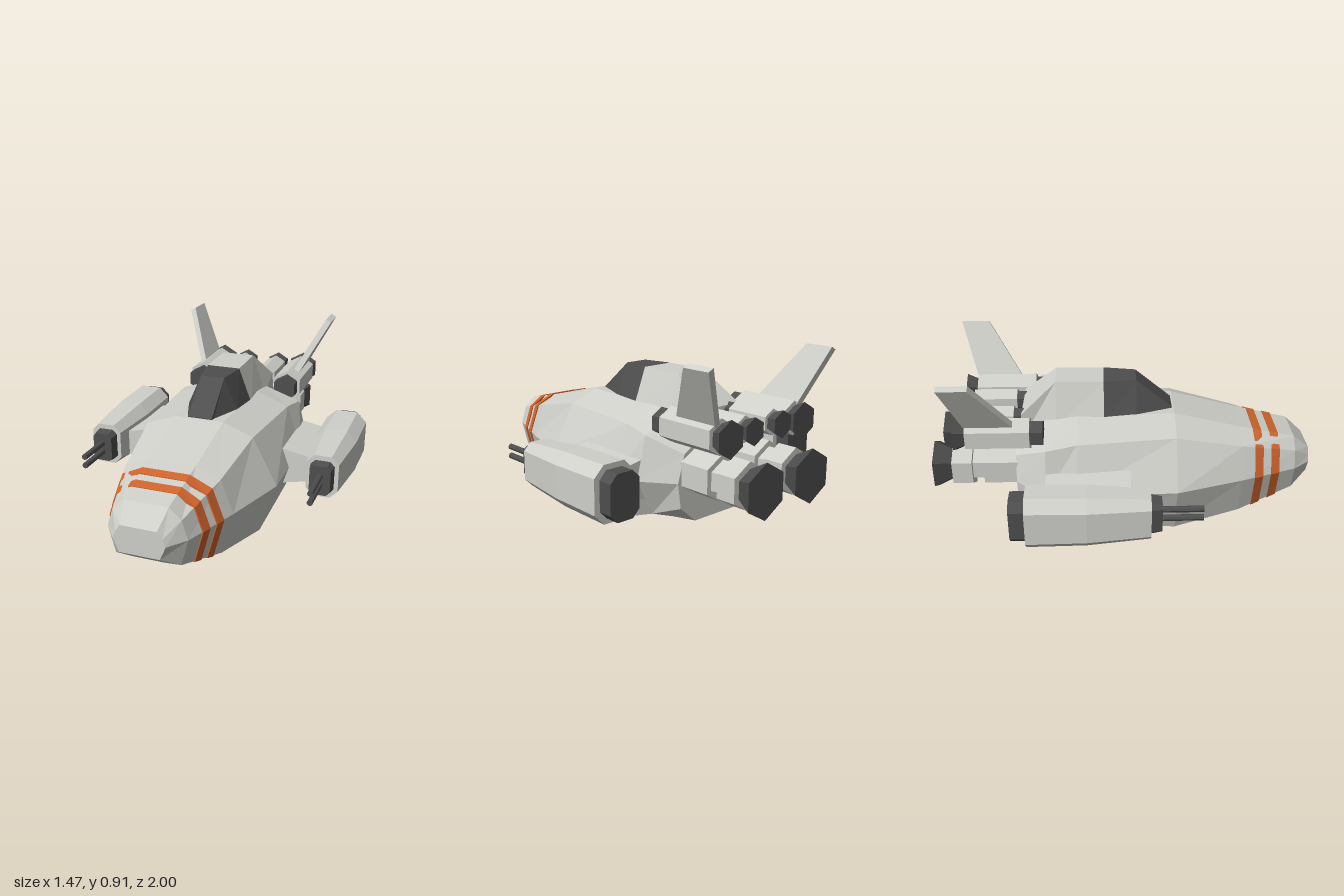
import * as THREE from 'three';

const make = (name, color) => {
  const m = new THREE.MeshStandardMaterial({ color, flatShading: true });
  m.name = name;
  return m;
};

// Skin a list of rings of [x, y, z] points and cap both ends
function loft(rings) {
  const pos = [];
  const tri = (a, b, c) => pos.push(...a, ...b, ...c);
  const n = rings[0].length;
  for (let i = 0; i < rings.length - 1; i++) {
    for (let j = 0; j < n; j++) {
      const k = (j + 1) % n;
      const [p, q] = [rings[i], rings[i + 1]];
      tri(p[j], q[j], q[k]);
      tri(p[j], q[k], p[k]);
    }
  }
  const last = rings[rings.length - 1];
  for (let j = 1; j < n - 1; j++) {
    tri(rings[0][0], rings[0][j], rings[0][j + 1]);
    tri(last[0], last[j + 1], last[j]);
  }
  const g = new THREE.BufferGeometry();
  g.setAttribute('position', new THREE.Float32BufferAttribute(pos, 3));
  g.computeVertexNormals();
  return g;
}

// Mirror a right-hand outline (bottom to top) into a closed ring at depth z
const closed = (half, z) => [
  ...half.map(([x, y]) => [x, y, z]),
  ...half.slice().reverse().map(([x, y]) => [-x, y, z]),
];

// Hull outlines: z, then keel, lower, widest, shoulder and top points
const hullRings = [
  [1.0, [[0.05, 0.22], [0.1, 0.22], [0.13, 0.29], [0.115, 0.325], [0.09, 0.36]]],
  [0.91, [[0.08, 0.15], [0.165, 0.155], [0.2, 0.29], [0.17, 0.385], [0.11, 0.44]]],
  [0.61, [[0.12, 0.055], [0.25, 0.065], [0.31, 0.29], [0.245, 0.46], [0.12, 0.51]]],
  [0.26, [[0.17, 0.005], [0.335, 0.02], [0.42, 0.29], [0.29, 0.54], [0.13, 0.6]]],
  [-0.25, [[0.17, 0.03], [0.335, 0.045], [0.42, 0.29], [0.33, 0.53], [0.15, 0.6]]],
  [-0.41, [[0.17, 0.05], [0.31, 0.1], [0.41, 0.29], [0.355, 0.51], [0.15, 0.58]]],
  [-0.57, [[0.17, 0.075], [0.27, 0.16], [0.29, 0.29], [0.25, 0.43], [0.13, 0.5]]],
];

// Hull outline at any depth, pushed out a little
function hullAt(z, out) {
  const i = hullRings.findIndex((r) => r[0] <= z);
  const [z0, a] = hullRings[i - 1];
  const [z1, b] = hullRings[i];
  const t = (z - z0) / (z1 - z0);
  return closed(a.map(([x, y], j) => {
    const px = x + (b[j][0] - x) * t, py = y + (b[j][1] - y) * t;
    const k = 1 + out / 0.2;
    return [px * k, 0.29 + (py - 0.29) * k];
  }), z);
}

// Chamfered rectangular ring
const octagon = (cx, cy, w, h, c, z) => [
  [w - c, -h], [w, c - h], [w, h - c], [w - c, h],
  [c - w, h], [-w, h - c], [-w, c - h], [c - w, -h],
].map(([x, y]) => [cx + x, cy + y, z]);

export function createModel() {
  const root = new THREE.Group();
  const hullGrey = make('hull grey', 0xcfcfca);
  const darkGrey = make('dark grey', 0x4e4e4e);
  const orange = make('orange stripe', 0xd0642c);
  const add = (name, geometry, material, parent = root) => {
    const mesh = new THREE.Mesh(geometry, material);
    mesh.name = name;
    parent.add(mesh);
    return mesh;
  };
  const group = (name) => {
    const g = new THREE.Group();
    g.name = name;
    root.add(g);
    return g;
  };

  // Fuselage and the two painted bands round the nose
  add('hull', loft(hullRings.map(([z, half]) => closed(half, z))), hullGrey);
  for (const [front, back] of [[0.82, 0.773], [0.728, 0.682]]) {
    add('noseStripe', loft([hullAt(front, 0.004), hullAt(back, 0.004)]), orange);
  }

  // Cockpit glass and the fairing behind it: z, base x, base y, top x, top y
  const cabin = [
    [0.25, 0.07, 0.58, 0.065, 0.605],
    [0.06, 0.145, 0.58, 0.065, 0.765],
    [-0.11, 0.165, 0.57, 0.09, 0.768],
    [-0.36, 0.165, 0.55, 0.09, 0.77],
    [-0.54, 0.165, 0.48, 0.155, 0.615],
  ].map(([z, bx, by, tx, ty]) => closed([[bx, by], [tx, ty]], z));
  add('canopyGlass', loft(cabin.slice(0, 3)), darkGrey);
  add('canopyFairing', loft(cabin.slice(2)), hullGrey);

  // Hexagonal section from z0 back to z1
  const hex = (name, x, y, z0, r0, z1, r1, material, parent) => {
    const g = new THREE.CylinderGeometry(r0, r1, z0 - z1, 6).rotateX(Math.PI / 2);
    add(name, g, material, parent).position.set(x, y, (z0 + z1) / 2);
  };

  for (const s of [1, -1]) {
    const side = s > 0 ? 'left' : 'right';

    // Main engine
    const main = group(side + 'MainEngine');
    const mx = s * 0.165, my = 0.337;
    hex('engineBody', mx, my, -0.45, 0.12, -0.74, 0.12, hullGrey, main);
    hex('engineNeck', mx, my, -0.74, 0.09, -0.8, 0.09, hullGrey, main);
    hex('engineCollar', mx, my, -0.8, 0.12, -0.905, 0.12, hullGrey, main);
    hex('engineNozzle', mx, my, -0.905, 0.085, -1.0, 0.137, darkGrey, main);

    // Outer and inner boosters above the main engines
    for (const [name, x, y, r, z] of [
      ['OuterBooster', 0.26, 0.567, 0.088, -0.42],
      ['InnerBooster', 0.1, 0.575, 0.066, -0.53],
    ]) {
      const b = group(side + name);
      const zi = z - r * 0.75;
      hex('boosterIntake', s * x, y, z, r * 0.8, zi, r * 0.8, darkGrey, b);
      hex('boosterBody', s * x, y, zi, r, -0.81, r, hullGrey, b);
      hex('boosterNozzle', s * x, y, -0.81, r * 0.72, -0.87, r * 1.04, darkGrey, b);
    }

    // Swept fin leaning outwards
    const finRing = (x, y, front, back) => [
      [-1, front], [-1, back], [1, back], [1, front],
    ].map(([e, z]) => [s * x + e * 0.015, y - s * e * 0.008, z]);
    add(side + 'Fin', loft([finRing(0.285, 0.62, -0.56, -0.81), finRing(0.43, 0.905, -0.75, -0.9)]), hullGrey);

    // Stub wing
    const wing = (z) => {
      const ring = [[0.3, 0.175], [0.53, 0.225], [0.53, 0.365], [0.3, 0.41]].map(([x, y]) => [s * x, y, z]);
      return s > 0 ? ring : ring.reverse();
    };
    add(side + 'Wing', loft([wing(0.02), wing(-0.41)]), hullGrey);

    // Gun pod
    const pod = group(side + 'GunPod');
    const px = s * 0.62, py = 0.31;
    add('podBody', loft([
      octagon(px, py, 0.085, 0.115, 0.04, 0.11),
      octagon(px, py, 0.115, 0.138, 0.055, -0.2),
      octagon(px, py, 0.115, 0.142, 0.055, -0.495),
    ]), hullGrey, pod);
    add('podTailCap', loft([
      octagon(px, py, 0.085, 0.115, 0.04, -0.49),
      octagon(px, py, 0.085, 0.115, 0.04, -0.572),
    ]), darkGrey, pod);
    add('gunMount', loft([
      octagon(px, py, 0.055, 0.08, 0.02, 0.165),
      octagon(px, py, 0.065, 0.09, 0.025, 0.1),
    ]), darkGrey, pod);
    for (const dy of [0.025, -0.025]) {
      const barrel = new THREE.CylinderGeometry(0.016, 0.016, 0.22, 8).rotateX(Math.PI / 2);
      add('gunBarrel', barrel, darkGrey, pod).position.set(px, py + dy, 0.26);
    }
  }
  return root;
}
